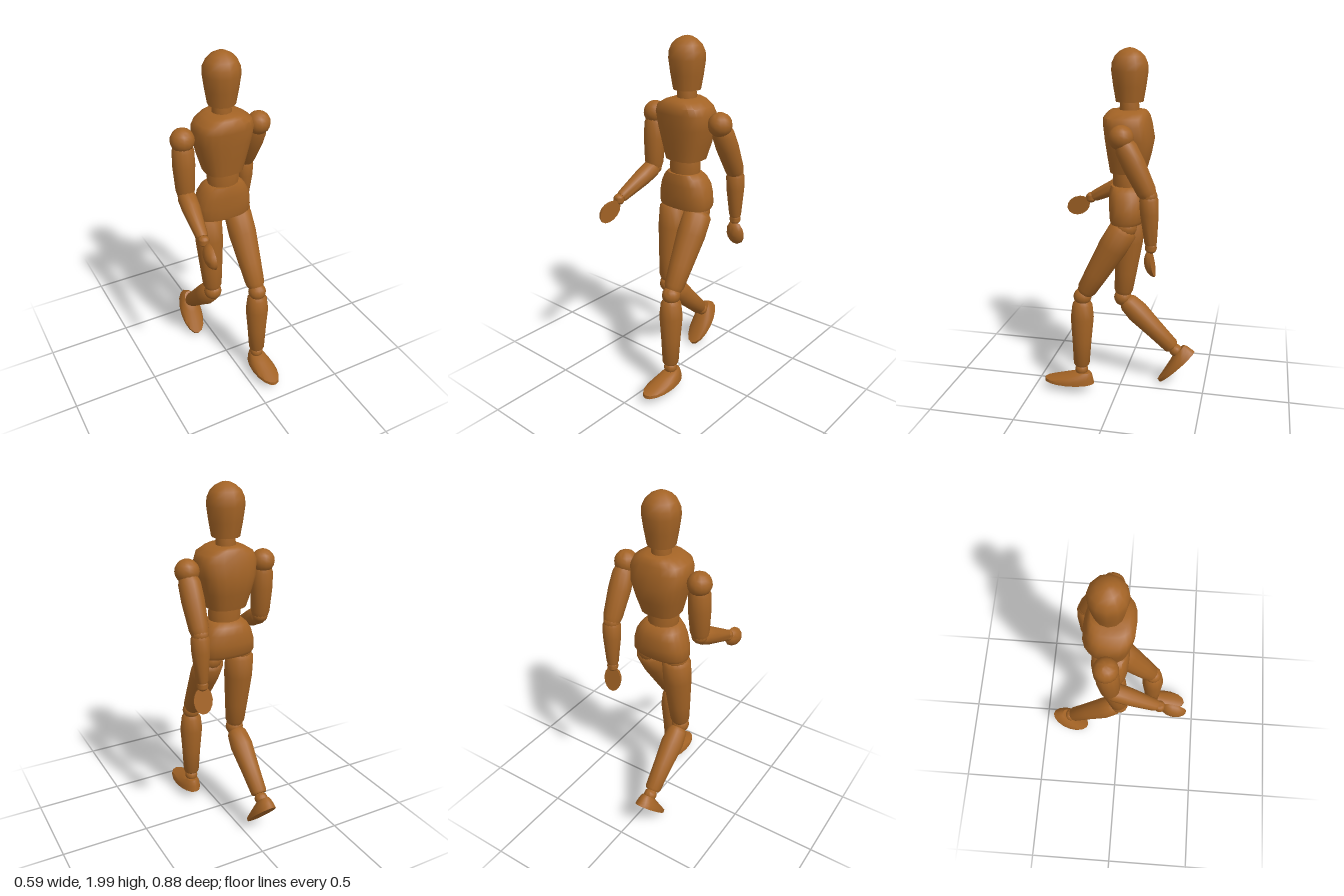
import * as THREE from 'three';
import { toCreasedNormals } from 'three/addons/utils/BufferGeometryUtils.js';

const V = (x, y, z) => new THREE.Vector3(x, y, z);

export function createModel() {
  const group = new THREE.Group();
  const wood = new THREE.MeshStandardMaterial({ color: 0xa36325 });
  wood.name = 'wood';

  function add(name, geometry, crease = 0.9) {
    const mesh = new THREE.Mesh(toCreasedNormals(geometry, crease), wood);
    mesh.name = name;
    group.add(mesh);
    return mesh;
  }

  // Stacked rings: [y, half width, back z, front z], rounded by a superellipse power
  function loft(rings, power = 2, n = 16) {
    const pos = [], index = [];
    const signed = (v) => Math.sign(v) * Math.abs(v) ** (2 / power);
    for (const [y, rx, back, front] of rings) {
      for (let i = 0; i < n; i++) {
        const a = (i / n) * Math.PI * 2;
        pos.push(rx * signed(Math.sin(a)), y,
          (back + front) / 2 + ((front - back) / 2) * signed(Math.cos(a)));
      }
    }
    const last = rings.length - 1;
    for (const r of [rings[0], rings[last]]) pos.push(0, r[0], (r[2] + r[3]) / 2);
    const bottom = rings.length * n, top = bottom + 1;
    for (let i = 0; i < n; i++) {
      const k = (i + 1) % n;
      for (let j = 0; j < last; j++) {
        const a = j * n + i, b = j * n + k;
        index.push(a, b, b + n, a, b + n, a + n);
      }
      index.push(bottom, k, i, top, last * n + i, last * n + k);
    }
    const g = new THREE.BufferGeometry();
    g.setAttribute('position', new THREE.Float32BufferAttribute(pos, 3));
    g.setIndex(index);
    return g;
  }

  // Turned limb from a to b; profile holds [fraction, radius]
  function limb(name, a, b, profile) {
    const dir = b.clone().sub(a), len = dir.length();
    const pts = [new THREE.Vector2(0, 0),
      ...profile.map(([t, r]) => new THREE.Vector2(r, t * len)),
      new THREE.Vector2(0, len)];
    const mesh = add(name, new THREE.LatheGeometry(pts, 14));
    mesh.position.copy(a);
    mesh.quaternion.setFromUnitVectors(V(0, 1, 0), dir.normalize());
  }

  function ball(name, p, r) {
    add(name, new THREE.SphereGeometry(r, 14, 10), 1.2).position.copy(p);
  }

  // Half ellipsoid with a flat palm; back is the bulging side
  function hand(name, centre, dir, back) {
    const g = new THREE.SphereGeometry(1, 14, 10);
    const p = g.attributes.position;
    for (let i = 0; i < p.count; i++) p.setY(i, Math.max(0, p.getY(i)));
    g.scale(0.056, 0.045, 0.076);
    const z = dir.normalize(), x = back.clone().cross(z).normalize();
    const y = z.clone().cross(x);
    const mesh = add(name, g);
    mesh.quaternion.setFromRotationMatrix(new THREE.Matrix4().makeBasis(x, y, z));
    mesh.position.copy(centre);
  }

  // Foot with its origin at the heel of the sole
  function foot(name, heel, pitch) {
    const mesh = add(name, loft([
      [0, 0.069, 0, 0.305], [0.018, 0.069, 0.003, 0.302], [0.035, 0.06, 0.007, 0.235],
      [0.055, 0.047, 0.012, 0.16], [0.07, 0.033, 0.02, 0.112],
    ]));
    mesh.position.copy(heel);
    mesh.rotation.x = pitch;
  }

  // Head and neck
  const head = [[1.72, 0.076], [1.8, 0.09], [1.88, 0.101], [1.92, 0.098], [1.955, 0.082],
    [1.98, 0.056], [1.995, 0.026], [2, 0.002]];
  add('head', loft(head.map(([y, r]) => [y, r, -0.052 - r, -0.052 + r]), 2, 12));
  limb('neck', V(0, 1.65, -0.052), V(0, 1.73, -0.052), [[0, 0.054], [0.5, 0.054], [1, 0.05]]);

  // Torso
  add('chest', loft([
    [1.34, 0.108, -0.145, 0.05], [1.43, 0.133, -0.17, 0.063], [1.52, 0.156, -0.187, 0.075],
    [1.6, 0.166, -0.172, 0.083], [1.64, 0.148, -0.162, 0.084], [1.665, 0.105, -0.152, 0.066],
    [1.677, 0.07, -0.14, 0.05],
  ], 2.7, 20));
  add('waist', loft([
    [1.24, 0.085, -0.115, 0.035], [1.3, 0.092, -0.118, 0.04], [1.35, 0.085, -0.115, 0.035],
  ]));
  add('pelvis', loft([
    [1.063, 0.158, -0.14, 0.045], [1.085, 0.165, -0.155, 0.05], [1.14, 0.162, -0.157, 0.053],
    [1.2, 0.145, -0.155, 0.054], [1.24, 0.122, -0.14, 0.052], [1.265, 0.095, -0.115, 0.046],
  ], 2.5, 20));

  // Arms
  const upperArm = [[0, 0.05], [0.1, 0.06], [0.4, 0.062], [0.9, 0.053], [1, 0.045]];
  const forearm = [[0, 0.042], [0.08, 0.051], [0.35, 0.05], [0.95, 0.034], [1, 0.03]];
  const arms = [
    { side: 'left', shoulder: V(0.225, 1.56, -0.052), elbow: V(0.228, 1.262, -0.2), wrist: V(0.225, 0.98, -0.215) },
    { side: 'right', shoulder: V(-0.229, 1.56, -0.052), elbow: V(-0.229, 1.245, -0.035), wrist: V(-0.255, 1.112, 0.232) },
  ];
  for (const { side, shoulder, elbow, wrist } of arms) {
    ball(side + 'Shoulder', shoulder, 0.066);
    limb(side + 'UpperArm', shoulder.clone().lerp(elbow, 0.1), elbow, upperArm);
    ball(side + 'Elbow', elbow, 0.046);
    limb(side + 'Forearm', elbow, wrist.clone().lerp(elbow, 0.06), forearm);
    ball(side + 'Wrist', wrist, 0.032);
  }
  hand('leftHand', V(0.225, 0.893, -0.226), V(0, -0.148, -0.03), V(0, 0, 1));
  hand('rightHand', V(-0.246, 1.06, 0.31), V(-0.012, -0.06, 0.125), V(-1, 0, 0));

  // Legs
  const thigh = [[0, 0.06], [0.05, 0.08], [0.3, 0.081], [0.7, 0.066], [0.95, 0.056], [1, 0.046]];
  const shin = [[0, 0.045], [0.05, 0.058], [0.25, 0.067], [0.6, 0.056], [0.97, 0.047], [1, 0.04]];
  const legs = [
    { side: 'left', hip: V(0.092, 1.045, -0.048), knee: V(0.098, 0.615, 0.2), ankle: V(0.1, 0.15, 0.212), heel: V(0.105, 0.065, 0.135), pitch: 0.02 },
    { side: 'right', hip: V(-0.092, 1.055, -0.05), knee: V(-0.092, 0.55, 0.003), ankle: V(-0.092, 0.232, -0.322), heel: V(-0.092, 0.234, -0.437), pitch: 0.81 },
  ];
  for (const { side, hip, knee, ankle, heel, pitch } of legs) {
    ball(side + 'Hip', hip, 0.065);
    limb(side + 'Thigh', hip, knee.clone().lerp(hip, 0.06), thigh);
    ball(side + 'Knee', knee, 0.052);
    limb(side + 'Shin', knee.clone().lerp(ankle, 0.06), ankle.clone().lerp(knee, 0.06), shin);
    ball(side + 'Ankle', ankle, 0.038);
    foot(side + 'Foot', heel, pitch);
  }

  return group;
}
